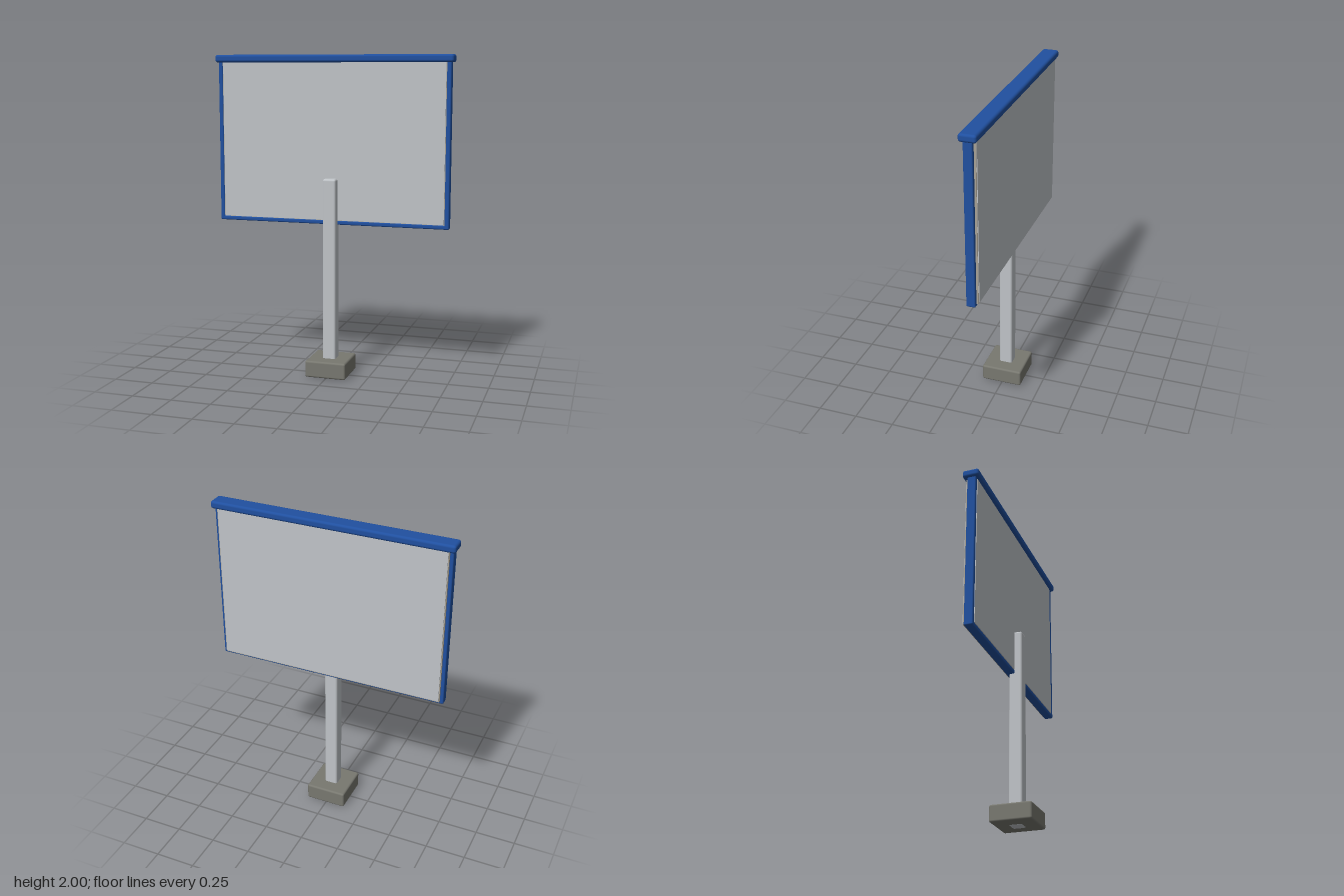
import * as THREE from 'three';
import { RoundedBoxGeometry } from 'three/addons/geometries/RoundedBoxGeometry.js';

function material(name, color) {
  const m = new THREE.MeshStandardMaterial({ color });
  m.name = name;
  return m;
}

export function createModel() {
  const blue = material('blue frame paint', 0x2050a0);
  const grey = material('light grey metal', 0xc0c4c8);
  const edge = material('warm grey board edge', 0xa8a296);
  const stone = material('concrete', 0x787870);

  const model = new THREE.Group();
  model.name = 'signboard';

  // Box given by its extents; a bevel radius of 0 keeps it sharp
  function block(name, mat, [x0, x1], [y0, y1], [z0, z1], bevel = 0) {
    const size = [x1 - x0, y1 - y0, z1 - z0];
    const geometry = bevel
      ? new RoundedBoxGeometry(...size, 2, bevel)
      : new THREE.BoxGeometry(...size);
    const mesh = new THREE.Mesh(geometry, mat);
    mesh.name = name;
    mesh.position.set((x0 + x1) / 2, (y0 + y1) / 2, (z0 + z1) / 2);
    model.add(mesh);
  }

  // Footing and post; the post just pokes through the underside
  block('footing', stone, [-0.13, 0.13], [0.005, 0.11], [-0.13, 0.13], 0.012);
  block('post', grey, [-0.042, 0.042], [0, 1.245], [-0.042, 0.042], 0.013);

  // Board with a thin sheet on each face
  block('board', edge, [-0.716, 0.716], [0.975, 1.96], [-0.072, -0.009]);
  block('frontSheet', grey, [-0.706, 0.706], [0.985, 1.955], [-0.01, -0.005]);
  block('backSheet', grey, [-0.71, 0.71], [0.982, 1.955], [-0.076, -0.071]);

  // Frame rails and the wider cap along the top
  const depth = [-0.06, -0.005];
  for (const side of [-1, 1]) {
    const xs = [side * 0.709, side * 0.737].sort((a, b) => a - b);
    block(side > 0 ? 'leftRail' : 'rightRail', blue, xs, [0.958, 1.97], depth, 0.008);
  }
  block('bottomRail', blue, [-0.737, 0.737], [0.958, 0.984], depth, 0.008);
  block('topCap', blue, [-0.753, 0.753], [1.953, 2], [-0.087, 0.017], 0.015);

  return model;
}
